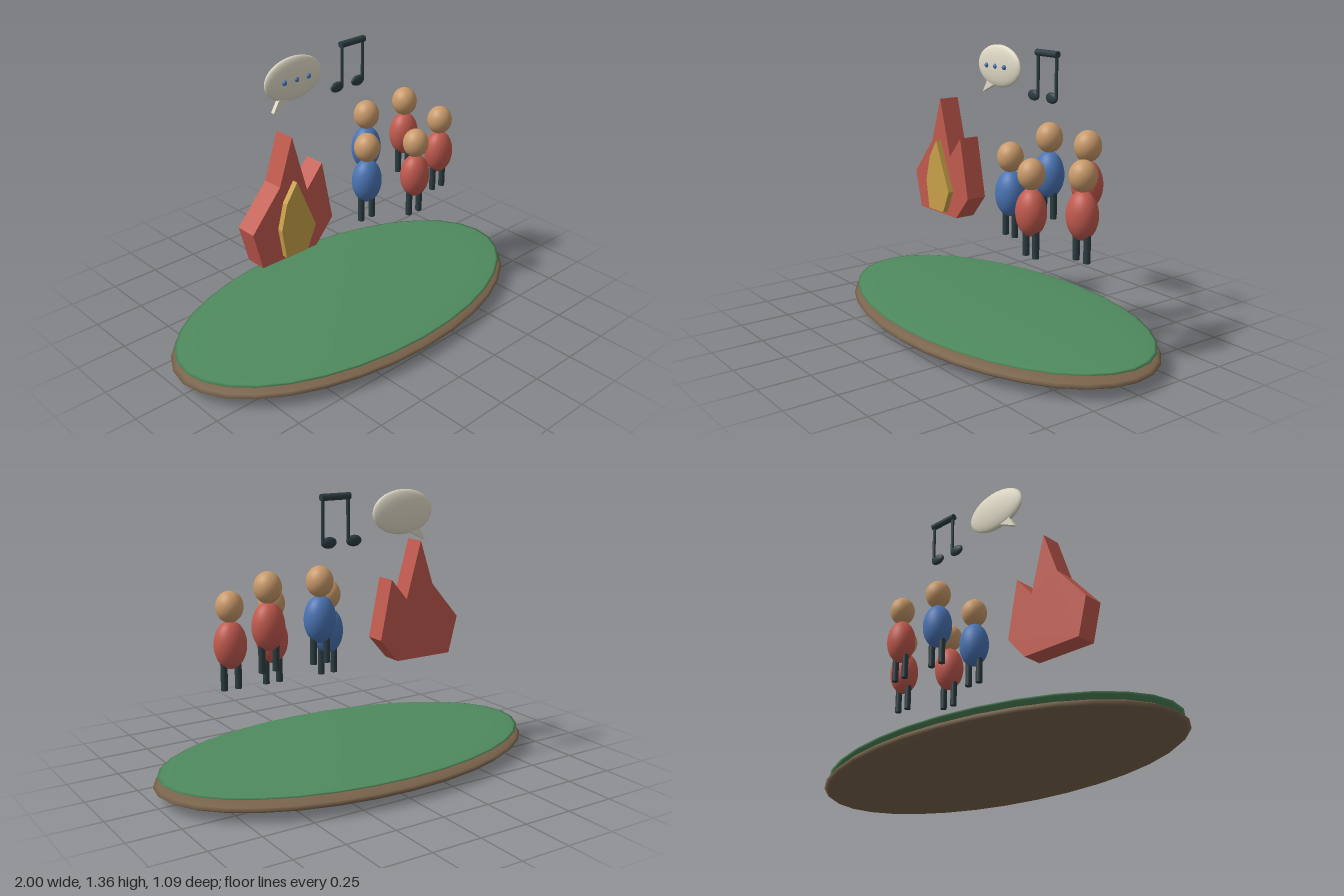
import * as THREE from 'three';

const mat = (color, extra = {}) => {
  const m = new THREE.MeshStandardMaterial({ ...extra });
  m.color.set(color);
  return m;
};
const brown = mat(0x7a644c), green = mat(0x4f8a5e), red = mat(0xc25a4e), gold = mat(0xc9a24a);
const skin = mat(0xc99a6a), blue = mat(0x4a74b4), dark = mat(0x2c3d42), cream = mat(0xe0dac6);

function add(parent, name, geometry, material, x, y, z) {
  const mesh = new THREE.Mesh(geometry, material);
  mesh.name = name;
  mesh.position.set(x, y, z);
  parent.add(mesh);
  return mesh;
}

// Sphere stretched to three radii
const ellipsoid = (rx, ry, rz, w = 32, h = 20) => new THREE.SphereGeometry(1, w, h).scale(rx, ry, rz);

// Flat outline given thickness, with its back face at z = 0
function slab(points, depth) {
  const shape = new THREE.Shape(points.map(([x, y]) => new THREE.Vector2(x, y)));
  return new THREE.ExtrudeGeometry(shape, { depth, bevelEnabled: false });
}

function makePerson(name, shirt, x, y, z) {
  const person = new THREE.Group();
  person.name = name;
  person.position.set(x, y, z);
  add(person, 'head', ellipsoid(0.0625, 0.071, 0.0625), skin, 0, 0.868, 0);
  add(person, 'body', ellipsoid(0.076, 0.11, 0.068), shirt, 0, 0.695, 0);
  for (const side of [-1, 1]) {
    add(person, side > 0 ? 'leftLeg' : 'rightLeg',
      new THREE.CylinderGeometry(0.016, 0.016, 0.15, 16), dark, side * 0.035, 0.564, 0);
  }
  return person;
}

export function createModel() {
  const model = new THREE.Group();
  model.name = 'campfireGathering';

  // Oval ground
  add(model, 'earth', ellipsoid(1, 0.058, 0.545, 32, 16), brown, 0, 0.058, 0);
  add(model, 'grass', ellipsoid(0.98, 0.018, 0.527, 32, 16), green, 0, 0.105, 0);

  // Flame with a smaller one inside
  const fire = new THREE.Group();
  fire.name = 'campfire';
  add(fire, 'outerFlame', slab([
    [-0.565, 0.502], [-0.25, 0.502], [-0.15, 0.617], [-0.21, 0.91],
    [-0.30, 0.805], [-0.38, 1.085], [-0.455, 0.867], [-0.613, 0.685],
  ], 0.104), red, 0, 0, -0.052);
  add(fire, 'innerFlame', slab([
    [-0.45, 0.521], [-0.325, 0.521], [-0.275, 0.632], [-0.38, 0.878], [-0.44, 0.79], [-0.473, 0.665],
  ], 0.05), gold, 0, 0, 0.03);
  model.add(fire);

  // Ring of people
  [
    [blue, 0.122, 0, 0], [blue, 0.243, 0.095, -0.133], [red, 0.375, -0.027, 0.078],
    [red, 0.507, 0.095, -0.133], [red, 0.628, 0, 0],
  ].forEach(([shirt, x, y, z], i) => model.add(makePerson(`person${i + 1}`, shirt, x, y, z)));

  // Speech bubble
  const bubble = new THREE.Group();
  bubble.name = 'speechBubble';
  bubble.position.set(-0.185, 1.25, -0.167);
  add(bubble, 'balloon', ellipsoid(0.167, 0.104, 0.027), cream, 0, 0, 0);
  add(bubble, 'tail', slab([[-0.125, -0.138], [-0.015, -0.085], [-0.085, -0.07]], 0.02), cream, 0, 0, -0.01);
  for (const x of [-0.07, 0, 0.07]) {
    add(bubble, 'dot', new THREE.SphereGeometry(0.013, 16, 12), blue, x, 0, 0.023);
  }
  model.add(bubble);

  // Pair of joined music notes
  const notes = new THREE.Group();
  notes.name = 'musicNotes';
  notes.position.set(0.18, 0, -0.167);
  for (const x of [-0.066, 0.066]) {
    add(notes, 'noteStem', new THREE.CylinderGeometry(0.008, 0.008, 0.2, 12), dark, x, 1.24, 0);
    add(notes, 'noteHead', ellipsoid(0.04, 0.026, 0.014), dark, x - 0.031, 1.138, 0);
  }
  add(notes, 'noteBeam', new THREE.CylinderGeometry(0.016, 0.016, 0.15, 16), dark, 0, 1.34, 0).rotation.z = Math.PI / 2;
  model.add(notes);

  return model;
}
